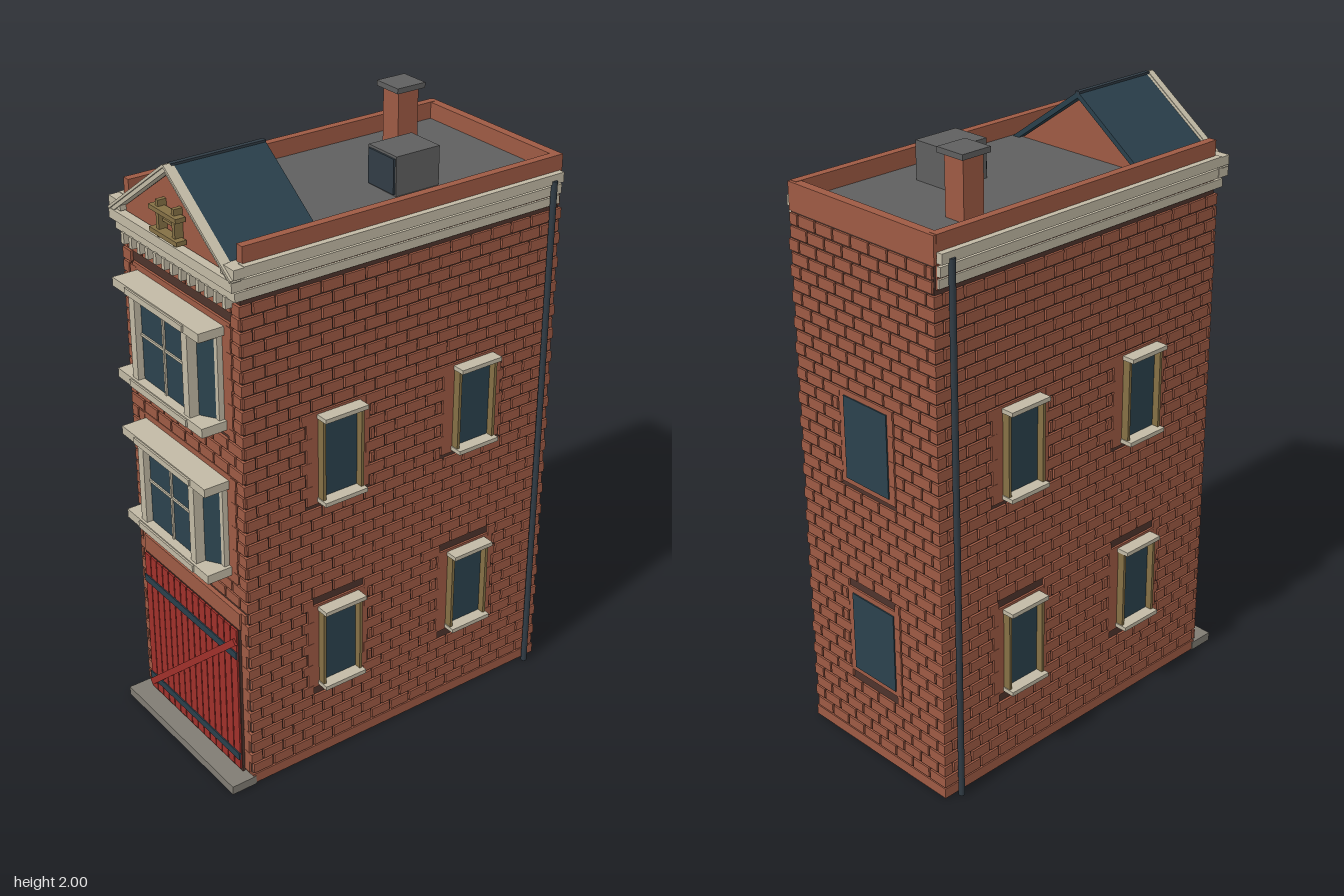
import * as THREE from 'three';
import { mergeGeometries } from 'three/addons/utils/BufferGeometryUtils.js';

const material = (name, color) => {
  const m = new THREE.MeshStandardMaterial({ color });
  m.name = name;
  return m;
};
const brick = material('brick', 0x9e5a44);
const mortar = material('mortar', 0x4e342c);
const trim = material('pale trim', 0xc2baa5);
const glass = material('window glass', 0x2b424d);
const slate = material('slate', 0x293f4b);
const red = material('red paint', 0xa0302a);
const grey = material('roof grey', 0x5f5f5f);
const steel = material('dark steel', 0x313c45);
const wood = material('wood', 0x857045);
const stone = material('step stone', 0x807c73);

const HALF_W = 0.312, HALF_D = 0.585, MID_Z = -0.05, FRONT = 0.535;

const boxGeo = (x0, x1, y0, y1, z0, z1) =>
  new THREE.BoxGeometry(x1 - x0, y1 - y0, z1 - z0)
    .translate((x0 + x1) / 2, (y0 + y1) / 2, (z0 + z1) / 2);

function add(parent, name, mat, geo) {
  const mesh = new THREE.Mesh(geo, mat);
  mesh.name = name;
  parent.add(mesh);
  return mesh;
}
const box = (parent, name, mat, ...b) => add(parent, name, mat, boxGeo(...b));

// Flat bar between two points in the xy plane
function bar(parent, name, mat, [x0, y0], [x1, y1], thick, z0, z1) {
  const g = new THREE.BoxGeometry(Math.hypot(x1 - x0, y1 - y0), thick, z1 - z0);
  g.rotateZ(Math.atan2(y1 - y0, x1 - x0));
  return add(parent, name, mat, g.translate((x0 + x1) / 2, (y0 + y1) / 2, (z0 + z1) / 2));
}

// Running-bond courses on a wall facing +z, toothed into holes [u0, u1, v0, v1]
function brickCourses(half, holes, top = 1.69) {
  const pitch = 0.041, height = 0.034, length = 0.078, gap = 0.007, parts = [];
  for (let row = 0, y = 0.042; y + pitch <= top + 0.001; row++, y += pitch) {
    const open = holes.filter(h => y + height > h[2] && y < h[3]);
    const inset = row % 2 ? -0.02 : gap;
    for (let u = -half - (row % 2 ? length / 2 : 0); u < half; u += length) {
      let spans = [[Math.max(u, -half), Math.min(u + length - gap, half)]];
      for (const h of open) {
        spans = spans.flatMap(([a, b]) => [
          [a, Math.min(b, h[0] - inset)], [Math.max(a, h[1] + inset), b]]);
      }
      for (const [a, b] of spans) {
        if (b - a > 0.008) parts.push(boxGeo(a, b, y, y + height, -0.009, 0));
      }
    }
  }
  return mergeGeometries(parts);
}

// Smooth brick surround filling a hole around an opening
const surround = (parent, [u0, u1, v0, v1]) =>
  box(parent, 'brickSurround', brick, u0, u1, v0, v1, -0.009, -0.001);

function sideWall() {
  const wall = new THREE.Group();
  const holes = [];
  for (const u of [-0.257, 0.257]) {
    for (const v of [0.28, 0.96]) {
      const hole = [u - 0.115, u + 0.115, v - 0.008, v + 0.305];
      holes.push(hole);
      surround(wall, hole);
      const w = new THREE.Group();
      w.name = 'sideWindow';
      w.position.set(u, v, 0);
      wall.add(w);
      box(w, 'pane', glass, -0.068, 0.068, 0.012, 0.288, -0.002, 0.003);
      for (const s of [-1, 1]) {
        box(w, 'jamb', wood, s * 0.07 - 0.005, s * 0.07 + 0.005, 0.012, 0.286, 0, 0.026);
      }
      box(w, 'sill', trim, -0.078, 0.078, 0, 0.014, 0, 0.043);
      box(w, 'lintel', trim, -0.078, 0.078, 0.284, 0.298, 0, 0.043);
    }
  }
  add(wall, 'sideBricks', brick, brickCourses(HALF_D, holes));
  return wall;
}

function bayWindow() {
  const bay = new THREE.Group();
  bay.name = 'bayWindow';
  box(bay, 'sill', trim, -0.232, 0.232, 0, 0.03, 0, 0.085);
  box(bay, 'sillLip', trim, -0.155, 0.155, 0.004, 0.026, 0.08, 0.091);
  box(bay, 'header', trim, -0.232, 0.232, 0.302, 0.33, 0, 0.085);
  box(bay, 'headerLip', trim, -0.155, 0.155, 0.306, 0.326, 0.08, 0.091);
  box(bay, 'headerBed', trim, -0.215, 0.215, 0.291, 0.302, 0, 0.07);
  // Canted body of glass
  const plan = new THREE.Shape([[-0.21, 0], [0.21, 0], [0.21, -0.012], [0.14, -0.055],
    [-0.14, -0.055], [-0.21, -0.012]].map(p => new THREE.Vector2(...p)));
  add(bay, 'glazing', glass,
    new THREE.ExtrudeGeometry(plan, { depth: 0.265, bevelEnabled: false })
      .rotateX(-Math.PI / 2).translate(0, 0.03, 0));
  for (const s of [-1, 1]) {
    box(bay, 'frontPost', trim, s * 0.142 - 0.015, s * 0.142 + 0.015, 0.03, 0.302, 0.045, 0.077);
    box(bay, 'wallPost', trim, s * 0.213 - 0.008, s * 0.213 + 0.008, 0.03, 0.302, 0, 0.018);
  }
  box(bay, 'verticalMuntin', trim, -0.004, 0.004, 0.03, 0.292, 0.053, 0.061);
  box(bay, 'horizontalMuntin', trim, -0.13, 0.13, 0.173, 0.181, 0.053, 0.06);
  return bay;
}

function garageDoor() {
  const door = new THREE.Group();
  door.name = 'garageDoor';
  box(door, 'doorBacking', mortar, -0.27, 0.27, 0.03, 0.58, -0.001, 0.008);
  const count = 15, step = 0.536 / count;
  const planks = [];
  for (let i = 0; i < count; i++) {
    const x = -0.268 + i * step;
    planks.push(boxGeo(x + 0.002, x + step - 0.002, 0.04, 0.577, 0.006, 0.014));
  }
  add(door, 'planks', red, mergeGeometries(planks));
  for (const y of [0.09, 0.483]) {
    box(door, 'strap', slate, -0.267, 0.267, y - 0.013, y + 0.013, 0.012, 0.018);
  }
  bar(door, 'brace', red, [-0.262, 0.06], [0.262, 0.535], 0.022, 0.012, 0.021);
  return door;
}

// Gable roof with brick ends and raking cornice
function gable() {
  const g = new THREE.Group();
  g.name = 'gable';
  const end = new THREE.Shape([[-0.29, 1.765], [0.29, 1.765], [0, 1.97]]
    .map(p => new THREE.Vector2(...p)));
  add(g, 'brickGable', brick,
    new THREE.ExtrudeGeometry(end, { depth: 0.295, bevelEnabled: false }).translate(0, 0, 0.255));
  for (const s of [-1, 1]) {
    bar(g, 'roofSlope', slate, [s * 0.283, 1.782], [0, 1.985], 0.016, 0.24, 0.556);
    bar(g, 'rakeCornice', trim, [s * 0.322, 1.755], [0, 1.984], 0.018, 0.545, 0.573);
    bar(g, 'rakeLip', trim, [s * 0.322, 1.763], [0, 1.993], 0.008, 0.555, 0.578);
    // Wooden hoist frame in the gable
    box(g, 'hoistPost', wood, s * 0.042 - 0.007, s * 0.042 + 0.007, 1.768, 1.88, 0.549, 0.578);
  }
  box(g, 'ridge', steel, -0.008, 0.008, 1.982, 1.996, 0.24, 0.556);
  for (const y of [1.785, 1.854]) {
    box(g, 'hoistRail', wood, -0.072, 0.072, y - 0.007, y + 0.007, 0.555, 0.588);
  }
  box(g, 'hoistBar', wood, -0.042, 0.042, 1.815, 1.824, 0.549, 0.565);
  return g;
}

export function createModel() {
  const model = new THREE.Group();
  model.name = 'brickTownhouse';

  // Core, foundation and flat roof
  const back = MID_Z - HALF_D;
  box(model, 'wallCore', mortar, -0.304, 0.304, 0.005, 1.785, back + 0.007, FRONT);
  box(model, 'foundation', stone, -0.303, 0.303, 0, 0.01, back + 0.008, FRONT);
  box(model, 'plinth', brick, -HALF_W, HALF_W, 0.002, 0.037, back, FRONT + 0.004);
  box(model, 'flatRoof', grey, -0.29, 0.29, 1.78, 1.795, -0.61, FRONT - 0.01);

  // Side walls with downpipes
  for (const s of [-1, 1]) {
    const wall = sideWall();
    wall.name = s > 0 ? 'leftWall' : 'rightWall';
    wall.rotation.y = s * Math.PI / 2;
    wall.position.set(s * HALF_W, 0, MID_Z);
    model.add(wall);
    add(model, 'downpipe', steel,
      new THREE.CylinderGeometry(0.01, 0.01, 1.78, 8).translate(s * 0.329, 0.89, -0.583));
    // Stepped side cornice
    [[1.695, 1.722, 0.317], [1.73, 1.76, 0.323], [1.768, 1.8, 0.33]].forEach(([y0, y1, w]) => {
      box(model, 'sideCornice', trim, Math.min(s * 0.3, s * w), Math.max(s * 0.3, s * w), y0, y1, -0.62, 0.535);
    });
    box(model, 'corniceReturn', trim, s * 0.297 - 0.033, s * 0.297 + 0.033, 1.768, 1.798, 0.515, 0.57);
    box(model, 'sideParapet', brick, s * 0.2965 - 0.0135, s * 0.2965 + 0.0135, 1.69, 1.85, -0.62, 0.528);
  }
  box(model, 'backParapet', brick, -0.309, 0.309, 1.762, 1.849, -0.63, -0.6);

  // Back wall
  const backWall = new THREE.Group();
  backWall.name = 'backWall';
  backWall.rotation.y = Math.PI;
  backWall.position.z = back;
  const backHoles = [0.28, 0.96].map(v => [-0.12, 0.12, v - 0.005, v + 0.305]);
  for (const h of backHoles) {
    surround(backWall, h);
    box(backWall, 'backWindow', glass, -0.095, 0.095, h[2] + 0.018, h[3] - 0.018, -0.002, 0.003);
  }
  add(backWall, 'backBricks', brick, brickCourses(HALF_W - 0.009, backHoles, 1.77));
  model.add(backWall);

  // Front wall with door and bay windows
  const frontWall = new THREE.Group();
  frontWall.name = 'frontWall';
  frontWall.position.z = FRONT + 0.009;
  const frontHoles = [[-0.26, 0.26, 0.735, 1.105], [-0.26, 0.26, 1.24, 1.605],
    [-0.295, 0.295, 0.038, 0.64]];
  frontHoles.forEach(h => surround(frontWall, h));
  add(frontWall, 'frontBricks', brick, brickCourses(HALF_W, frontHoles));
  box(frontWall, 'doorLintel', brick, -0.275, 0.275, 0.58, 0.64, -0.009, 0.006);
  for (const y of [0.757, 1.257]) {
    const bay = bayWindow();
    bay.position.y = y;
    frontWall.add(bay);
  }
  frontWall.add(garageDoor());
  model.add(frontWall);
  box(model, 'doorStep', stone, -0.315, 0.315, 0, 0.03, 0.53, 0.62);

  // Front cornice with dentils
  box(model, 'frontCorniceLower', trim, -0.317, 0.317, 1.695, 1.722, 0.53, 0.56);
  box(model, 'frontCorniceUpper', trim, -0.325, 0.325, 1.73, 1.762, 0.53, 0.575);
  const dentils = [];
  for (let i = 0; i < 13; i++) {
    const x = -0.27 + i * 0.045;
    dentils.push(boxGeo(x - 0.008, x + 0.008, 1.662, 1.698, 0.535, 0.566));
  }
  add(model, 'dentils', trim, mergeGeometries(dentils));
  model.add(gable());

  // Chimney and roof hatch
  box(model, 'chimney', brick, -0.193, -0.117, 1.79, 1.985, -0.412, -0.335);
  box(model, 'chimneyCap', grey, -0.207, -0.103, 1.983, 2, -0.427, -0.32);
  box(model, 'roofHatch', grey, 0.042, 0.175, 1.79, 1.918, -0.26, -0.1);
  box(model, 'hatchDoor', steel, 0.048, 0.169, 1.8, 1.91, -0.102, -0.094);

  return model;
}
